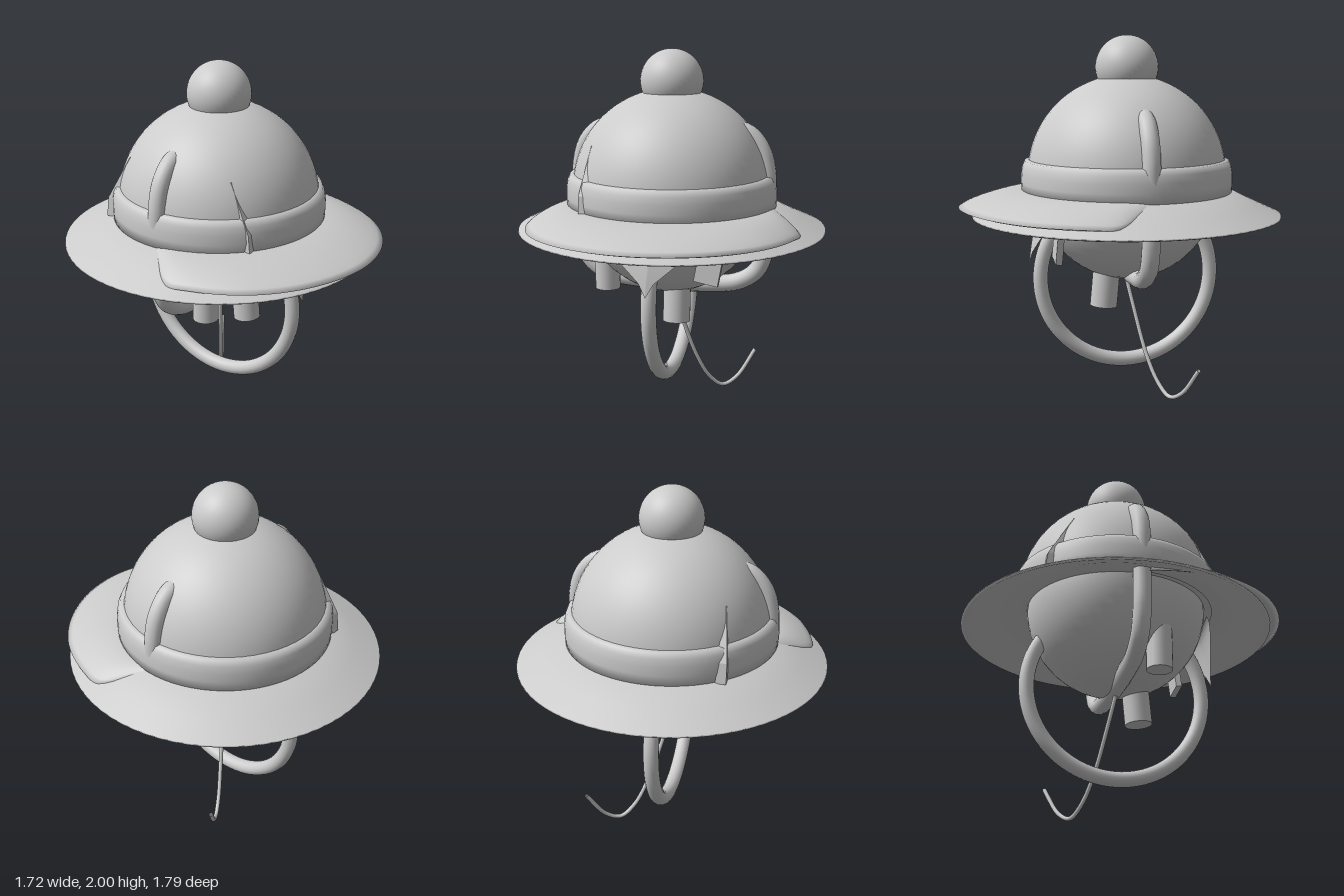
import * as THREE from 'three';
import { ParametricGeometry } from 'three/addons/geometries/ParametricGeometry.js';

const V = (x, y, z) => new THREE.Vector3(x, y, z);
const grey = new THREE.MeshStandardMaterial({ color: 0xcccccc, side: THREE.DoubleSide });

export function createModel() {
  const model = new THREE.Group();
  const add = (name, geometry, x = 0, y = 0, z = 0) => {
    const mesh = new THREE.Mesh(geometry, grey);
    mesh.name = name;
    mesh.position.set(x, y, z);
    model.add(mesh);
    return mesh;
  };
  const lathe = (pts) => new THREE.LatheGeometry(pts.map(([r, y]) => new THREE.Vector2(r, y)), 72);
  const tube = (pts, radius, n = 80) => new THREE.TubeGeometry(new THREE.CatmullRomCurve3(pts), n, radius, 14);
  const cz = -0.03; // shared axis of head and hat

  // Head, hat dome and bobble
  add('head', new THREE.SphereGeometry(0.5, 48, 32), 0, 1.15, cz);
  add('hatDome', new THREE.SphereGeometry(0.552, 56, 20, 0, Math.PI * 2, 0, Math.PI / 2), 0, 1.235, cz);
  add('bobble', new THREE.SphereGeometry(0.174, 40, 28), 0, 1.826, cz);

  // Hat band and sloping brim
  add('hatBand', lathe([[0.5, 1.135], [0.585, 1.14], [0.588, 1.2], [0.587, 1.25], [0.58, 1.29],
    [0.567, 1.318], [0.54, 1.325], [0.5, 1.32]]), 0, 0, cz);
  add('brim', lathe([[0.5, 1.15], [0.59, 1.145], [0.72, 1.082], [0.858, 1.02], [0.861, 1.012],
    [0.85, 1.008], [0.71, 1.07], [0.58, 1.132], [0.5, 1.135]]), 0, 0, cz);

  // Front visor: thin section swept from side to side along its outline
  const half = [[0.6, 1.13, 0], [0.75, 1.055, 0.18], [0.735, 1.055, 0.32], [0.63, 1.06, 0.56], [0.46, 1.065, 0.74], [0.24, 1.07, 0.86]];
  const outline = new THREE.CatmullRomCurve3([
    ...half.map(([x, y, z]) => V(x, y, z)),
    V(0, 1.072, 0.903),
    ...half.slice().reverse().map(([x, y, z]) => V(-x, y, z)),
  ], false, 'centripetal');
  add('visor', new ParametricGeometry((u, v, target) => {
    const outer = outline.getPoint(u);
    const a = Math.atan2(outer.z - cz, outer.x);
    const t = 1 - Math.abs(2 * v - 1); // 0 at the band, 1 at the rim
    const inner = V(0.54 * Math.cos(a), 1.155, cz + 0.54 * Math.sin(a));
    target.lerpVectors(inner, outer, t);
    target.y = inner.y + (outer.y - inner.y) * t * t;
    const edge = Math.sqrt(Math.max(0, 1 - t * t));
    target.y += (v < 0.5 ? 0.006 : -0.03) * Math.min(1, edge * 2);
  }, 96, 24));

  // Strap rising out of the dome, through the brim and under the head
  const side = [[0.34, 1.58], [0.43, 1.55], [0.5, 1.47], [0.535, 1.35], [0.537, 1.15], [0.535, 0.92], [0.49, 0.79], [0.38, 0.715], [0.2, 0.69]];
  add('strap', tube([
    ...side.map(([x, y]) => V(x, y, cz)),
    V(0, 0.685, cz),
    ...side.slice().reverse().map(([x, y]) => V(-x, y, cz)),
  ], 0.049, 120));

  // Upright hoop hanging through the head
  add('hoop', new THREE.TorusGeometry(0.493, 0.042, 16, 80), 0, 0.66, cz).rotation.y = Math.PI / 2;

  // Thin blade through the hat, showing at front and back
  const blade = new THREE.Shape([[-0.515, 1.14], [-0.5, 1.25], [-0.36, 1.5], [0.3, 1.5], [0.43, 1.25], [0.44, 1.14]]
    .map(([z, y]) => new THREE.Vector2(z, y)));
  const bladeGeo = new THREE.ExtrudeGeometry(blade, { depth: 0.055, bevelEnabled: false });
  const p = bladeGeo.attributes.position;
  for (let i = 0; i < p.count; i++) { // narrows to a point at the top
    const k = THREE.MathUtils.clamp((1.5 - p.getY(i)) / 0.25, 0.05, 1);
    p.setZ(i, 0.02 + (p.getZ(i) - 0.02) * k);
  }
  bladeGeo.computeVertexNormals();
  add('hatBlade', bladeGeo, -0.335, 0, 0).rotation.y = -Math.PI / 2;

  // Pointed face flap, folded along its middle and flaring forward to the tip
  add('faceFlap', new ParametricGeometry((u, v, target) => {
    const s = 2 * u - 1;
    const w = v < 0.75 ? 0.29 - 0.25 * (v / 0.75) : 0.04 * (1 - v) / 0.25;
    target.set(s * w, 1.04 - 0.29 * v, 0.455 + 0.072 * Math.sqrt(v) - 0.16 * Math.abs(s) * w);
  }, 16, 20));

  // Small hanging tab and rounded side piece
  const tab = add('hangingTab', new THREE.BoxGeometry(0.13, 0.26, 0.035), 0.32, 0.95, 0.41);
  tab.rotation.set(-0.06, 0, -0.17);
  add('sidePiece', new THREE.CylinderGeometry(0.07, 0.07, 0.4, 24), -0.335, 0.87, 0.12);

  // Stub under the chin
  add('chinStub', new THREE.CylinderGeometry(0.076, 0.076, 0.28, 28), 0.065, 0.645, 0.106).rotation.x = -0.09;

  // Curling wire
  add('wire', tube([V(0, 0.68, -0.02), V(0.045, 0.5, -0.055), V(0.13, 0.22, -0.115), V(0.2, 0.075, -0.165),
    V(0.27, 0.014, -0.21), V(0.345, 0.055, -0.26), V(0.44, 0.21, -0.325)], 0.012, 60));

  return model;
}
